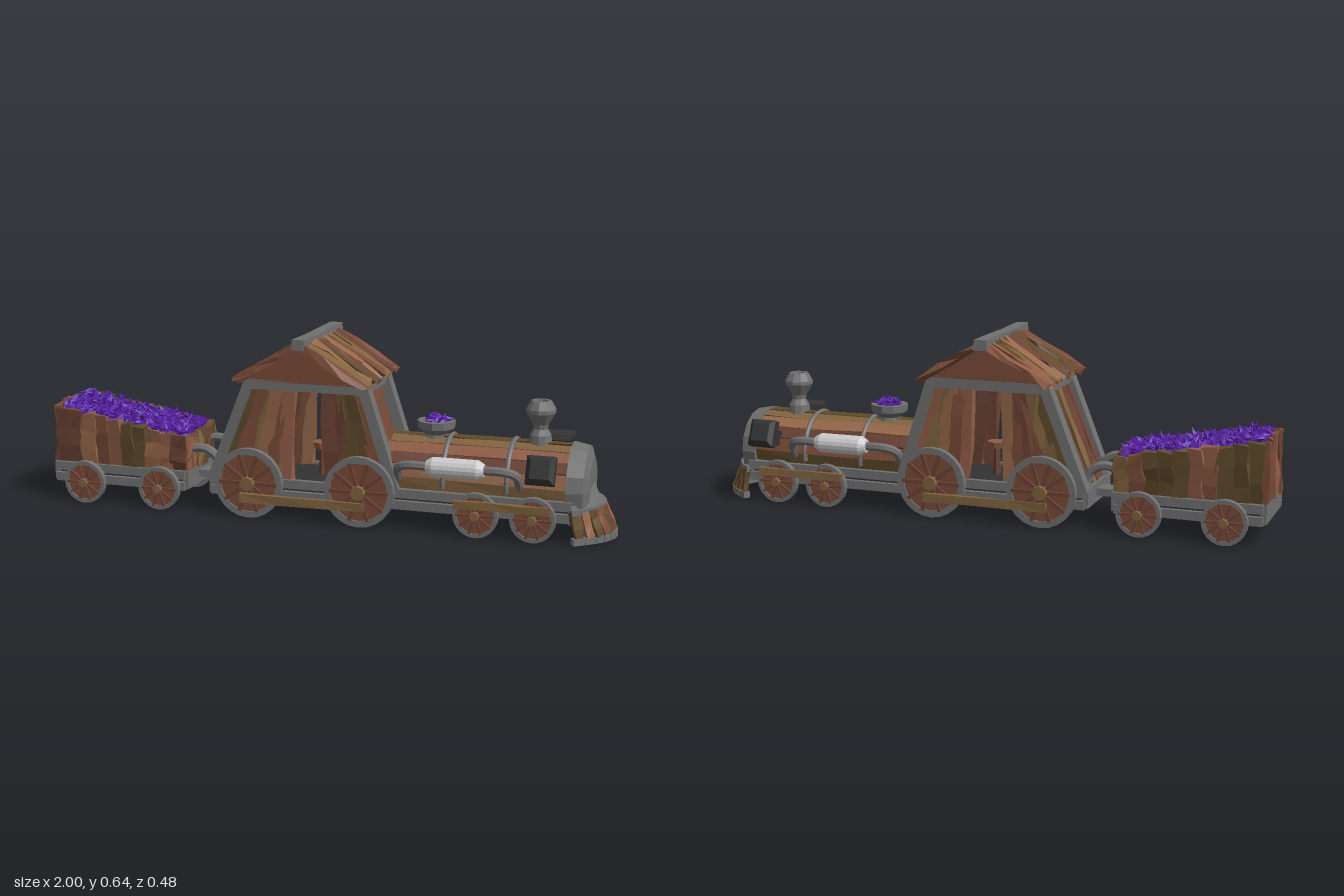
import * as THREE from 'three';
import { mergeGeometries } from 'three/addons/utils/BufferGeometryUtils.js';

const V = (x, y, z) => new THREE.Vector3(x, y, z);
const mat = (color) => new THREE.MeshStandardMaterial({ color, flatShading: true, side: THREE.DoubleSide });
const iron = mat(0x707070), dark = mat(0x333333), pale = mat(0xcccccc), purple = mat(0x5a20a8);
const woods = [0x8f5c46, 0x6b4234, 0x80633f, 0x7a4c38, 0x5f4a2c, 0x96684a].map(mat);

let seed = 7;
const rnd = () => (seed = (seed * 16807) % 2147483647) / 2147483647;
const wood = () => woods[Math.floor(rnd() * woods.length)];

export function createModel() {
  const root = new THREE.Group();
  const add = (parent, name, geo, m, x = 0, y = 0, z = 0) => {
    const mesh = new THREE.Mesh(geo, m);
    mesh.name = name;
    mesh.position.set(x, y, z);
    parent.add(mesh);
    return mesh;
  };
  const group = (name) => {
    const g = new THREE.Group();
    g.name = name;
    root.add(g);
    return g;
  };
  const box = (p, name, m, w, h, d, x, y, z) => add(p, name, new THREE.BoxGeometry(w, h, d), m, x, y, z);

  // Bar from a to b, its thin side along n; rough > 0 makes a crooked plank
  const bar = (p, name, m, a, b, width, thick, n, rough = 0) => {
    const len = a.distanceTo(b);
    const geo = new THREE.BoxGeometry(width, len, thick, 1, rough ? 3 : 1, 1);
    const pos = geo.attributes.position, moved = {};
    for (let i = 0; i < pos.count && rough; i++) {
      const v = V().fromBufferAttribute(pos, i);
      const k = v.toArray().map((c) => c.toFixed(4)).join();
      const o = (moved[k] ??= [rnd() - 0.5, rnd() - 0.5, rnd() - 0.5]);
      pos.setXYZ(i, v.x + o[0] * rough, v.y + o[1] * rough, v.z + o[2] * rough * 0.7);
    }
    geo.computeVertexNormals();
    const Y = b.clone().sub(a).normalize();
    const X = Y.clone().cross(n).normalize();
    const Z = X.clone().cross(Y);
    const mesh = add(p, name, geo, m);
    mesh.quaternion.setFromRotationMatrix(new THREE.Matrix4().makeBasis(X, Y, Z));
    mesh.position.copy(a).add(b).multiplyScalar(0.5);
    return mesh;
  };
  // Row of planks filling the quad a0-a1 (start edge) to b0-b1 (end edge)
  const planks = (p, name, a0, a1, b0, b1, count, thick, n, rough = 0.012) => {
    for (let i = 0; i < count; i++) {
      const t = (i + 0.5) / count;
      const w = Math.max(a0.distanceTo(a1), b0.distanceTo(b1)) / count * 1.04;
      bar(p, name, wood(), a0.clone().lerp(a1, t), b0.clone().lerp(b1, t), w, thick + rnd() * 0.008, n, rough);
    }
  };
  const shards = (p, name, count, place) => {
    const list = [];
    for (let i = 0; i < count; i++) {
      const g = new THREE.OctahedronGeometry(1).scale(0.009, 0.028, 0.009);
      g.rotateX(rnd() * 6).rotateZ(rnd() * 6).rotateY(rnd() * 6);
      list.push(g.translate(...place()));
    }
    add(p, name, mergeGeometries(list), purple);
  };

  // Wheel facing +z: iron tyre, wooden disc, spokes, hub
  const wheel = (x, y, r, side) => {
    const g = group('wheel');
    g.position.set(x, y, side * 0.157);
    if (side < 0) g.rotation.y = Math.PI;
    add(g, 'disc', new THREE.CylinderGeometry(r * 0.86, r * 0.86, 0.012, 20).rotateX(Math.PI / 2), woods[3]);
    const ring = new THREE.Shape().absarc(0, 0, r, 0, Math.PI * 2);
    ring.holes.push(new THREE.Path().absarc(0, 0, r * 0.82, 0, Math.PI * 2));
    add(g, 'tyre', new THREE.ExtrudeGeometry(ring, { depth: 0.022, bevelEnabled: false, curveSegments: 12 }), iron, 0, 0, -0.01);
    for (let i = 0; i < 10; i++) {
      const a = i * Math.PI / 5, c = Math.cos(a) * r, s = Math.sin(a) * r;
      bar(g, 'spoke', woods[1], V(c * 0.15, s * 0.15, 0.01), V(c * 0.85, s * 0.85, 0.01), r * 0.1, 0.012, V(0, 0, 1));
    }
    add(g, 'hub', new THREE.CylinderGeometry(r * 0.2, r * 0.24, 0.03, 8).rotateX(Math.PI / 2), woods[2], 0, 0, 0.013);
  };
  for (const s of [1, -1]) {
    for (const x of [-0.245, 0.15]) wheel(x, 0.13, 0.122, s);
    for (const x of [-0.865, -0.58, 0.55, 0.74]) wheel(x, 0.084, 0.076, s);
  }

  // Chassis of engine and wagon
  const chassis = group('chassis');
  const frame = (x0, x1) => {
    const w = x1 - x0, c = (x0 + x1) / 2;
    box(chassis, 'floor', dark, w, 0.055, 0.26, c, 0.11, 0);
    for (const s of [1, -1]) for (const y of [0.092, 0.132])
      box(chassis, 'sideRail', iron, w, 0.03, 0.02, c, y, s * 0.137);
    for (const x of [x0, x1]) box(chassis, 'endRail', iron, 0.02, 0.065, 0.27, x, 0.113, 0);
  };
  frame(-0.39, 0.86);
  frame(-0.985, -0.49);
  for (const s of [1, -1]) {
    bar(chassis, 'driveRod', woods[2], V(-0.27, 0.082, s * 0.182), V(0.17, 0.082, s * 0.182), 0.03, 0.016, V(0, 0, 1), 0.004);
    bar(chassis, 'frontRod', woods[2], V(0.48, 0.122, s * 0.18), V(0.8, 0.122, s * 0.18), 0.026, 0.016, V(0, 0, 1), 0.004);
    const hook = new THREE.CatmullRomCurve3([V(-0.5, 0.215, s * 0.085), V(-0.43, 0.22, s * 0.085), V(-0.39, 0.19, s * 0.085), V(-0.38, 0.13, s * 0.085)]);
    add(chassis, 'couplingPipe', new THREE.TubeGeometry(hook, 10, 0.016, 7), iron);
  }
  box(chassis, 'drawbar', iron, 0.13, 0.025, 0.07, -0.44, 0.115, 0);

  // Wagon: planked sides falling towards the front, filled with crystals
  const wagon = group('wagon');
  const top = (x) => 0.35 - (x + 0.98) * 0.17;
  for (const s of [1, -1])
    planks(wagon, 'wagonSidePlank', V(-0.98, 0.14, s * 0.125), V(-0.49, 0.14, s * 0.125), V(-0.98, top(-0.98), s * 0.135), V(-0.49, top(-0.49), s * 0.135), 10, 0.016, V(0, 0, 1), 0.018);
  for (const x of [-0.985, -0.49])
    planks(wagon, 'wagonEndPlank', V(x, 0.14, -0.125), V(x, 0.14, 0.125), V(x, top(x), -0.13), V(x, top(x), 0.13), 6, 0.016, V(1, 0, 0), 0.018);
  bar(wagon, 'crystalBed', purple, V(-0.97, 0.315, 0), V(-0.5, 0.235, 0), 0.23, 0.04, V(0, 1, 0));
  shards(wagon, 'crystals', 650, () => {
    const x = -0.97 + rnd() * 0.47;
    return [x, top(x) - 0.015 + rnd() * 0.025, (rnd() - 0.5) * 0.23];
  });

  // Cab: sloping posts, planked walls with a doorway each side, open front
  const cab = group('cab');
  for (const s of [1, -1]) {
    const z = s * 0.125, n = V(0, 0, 1);
    bar(cab, 'rearPost', iron, V(-0.385, 0.13, z), V(-0.245, 0.485, z), 0.035, 0.045, n);
    bar(cab, 'frontPost', iron, V(0.27, 0.13, z), V(0.155, 0.485, z), 0.035, 0.045, n);
    box(cab, 'topBeam', iron, 0.43, 0.035, 0.045, -0.045, 0.475, z);
    planks(cab, 'rearSidePlank', V(-0.36, 0.14, z), V(-0.1, 0.14, z), V(-0.23, 0.47, z), V(-0.095, 0.47, z), 6, 0.016, n, 0.015);
    planks(cab, 'frontSidePlank', V(0.025, 0.14, z), V(0.25, 0.14, z), V(0.015, 0.47, z), V(0.145, 0.47, z), 5, 0.016, n, 0.015);
    const gable = new THREE.Shape([[-0.27, 0.485], [0.18, 0.485], [-0.045, 0.615]].map((q) => new THREE.Vector2(...q)));
    add(cab, 'gable', new THREE.ExtrudeGeometry(gable, { depth: 0.015, bevelEnabled: false }), woods[3], 0, 0, s * 0.14 - 0.0075);
    // Roof slope on the s side of the ridge, planks running down it
    planks(cab, 'roofPlank', V(-0.05 + s * 0.01, 0.62, -0.2), V(-0.05 + s * 0.01, 0.62, 0.2), V(-0.05 + s * 0.23, 0.492, -0.2), V(-0.05 + s * 0.23, 0.492, 0.2), 11, 0.016, V(s * 0.5, 1, 0), 0.022);
    bar(cab, 'crossBeam', iron, V(-0.045 + s * 0.2, 0.475, -0.14), V(-0.045 + s * 0.2, 0.475, 0.14), 0.03, 0.035, V(0, 1, 0));
  }
  planks(cab, 'backPlank', V(-0.38, 0.14, -0.11), V(-0.38, 0.14, 0.11), V(-0.24, 0.47, -0.11), V(-0.24, 0.47, 0.11), 6, 0.016, V(1, 0, 0));
  bar(cab, 'ridgeBeam', iron, V(-0.05, 0.622, -0.22), V(-0.05, 0.625, 0.205), 0.045, 0.034, V(0, 1, 0), 0.006);
  add(cab, 'stoolPost', new THREE.CylinderGeometry(0.01, 0.014, 0.1, 6), woods[1], -0.03, 0.19, 0);
  add(cab, 'stoolSeat', new THREE.CylinderGeometry(0.035, 0.03, 0.022, 8), woods[0], -0.03, 0.245, 0);

  // Boiler: dark core clad in long planks, iron hoops and front cap
  const boiler = group('boiler');
  const tube = (r0, r1, len) => new THREE.CylinderGeometry(r0, r1, len, 16).rotateZ(-Math.PI / 2);
  add(boiler, 'core', tube(0.118, 0.118, 0.62), dark, 0.54, 0.18, 0);
  for (let i = 0; i < 13; i++) {
    const a = -0.45 + i / 12 * (Math.PI + 0.9);
    const n = V(0, Math.sin(a), Math.cos(a)), c = n.clone().multiplyScalar(0.122).add(V(0, 0.18, 0));
    bar(boiler, 'boilerPlank', wood(), V(0.23, c.y, c.z), V(0.85, c.y, c.z), 0.044, 0.014 + rnd() * 0.008, n, 0.01);
  }
  for (const x of [0.43, 0.645])
    add(boiler, 'hoop', new THREE.TorusGeometry(0.132, 0.009, 6, 24, Math.PI * 1.1).rotateZ(-0.05 * Math.PI).rotateY(Math.PI / 2), iron, x, 0.18, 0);
  add(boiler, 'capRing', tube(0.132, 0.143, 0.055), iron, 0.868, 0.176, 0);
  add(boiler, 'capFace', tube(0.09, 0.132, 0.015), iron, 0.902, 0.176, 0);

  // Chimney, and bowl with crystals
  const lathe = (name, pts, x) => add(boiler, name, new THREE.LatheGeometry(pts.map((q) => new THREE.Vector2(...q)), 10), iron, x);
  lathe('chimney', [[0.042, 0.28], [0.036, 0.335], [0.024, 0.355], [0.026, 0.37], [0.05, 0.41], [0.05, 0.422], [0.034, 0.45], [0.022, 0.45], [0.018, 0.41], [0, 0.41]], 0.73);
  lathe('bowl', [[0.045, 0.28], [0.04, 0.315], [0.064, 0.335], [0.066, 0.36], [0.046, 0.36], [0.044, 0.345], [0, 0.345]], 0.375);
  shards(boiler, 'bowlCrystals', 45, () => {
    const a = rnd() * 6.28, r = rnd() * 0.035;
    return [0.375 + Math.cos(a) * r, 0.352 + rnd() * 0.02, Math.sin(a) * r];
  });

  // Side tanks with pipes, and tilted lamps
  for (const s of [1, -1]) {
    const z = s * 0.172;
    add(boiler, 'tank', tube(0.034, 0.034, 0.15), pale, 0.482, 0.24, z);
    for (const e of [1, -1]) {
      add(boiler, 'tankEnd', tube(e > 0 ? 0.022 : 0.034, e > 0 ? 0.034 : 0.022, 0.022), pale, 0.482 + e * 0.086, 0.24, z);
      const x = 0.482 + e * 0.09;
      const path = new THREE.CatmullRomCurve3([V(x, 0.24, z), V(x + e * 0.07, 0.24, z), V(x + e * 0.108, 0.225, s * 0.155), V(x + e * 0.115, 0.17, s * 0.115)]);
      add(boiler, 'pipe', new THREE.TubeGeometry(path, 12, 0.015, 7), iron);
    }
    const lamp = group('lamp');
    lamp.position.set(0.77, 0.262, s * 0.2);
    lamp.rotation.x = s * (Math.PI / 2 - 0.4);
    const square = (r0, r1, h) => new THREE.CylinderGeometry(r0, r1, h, 4).rotateY(Math.PI / 4);
    add(lamp, 'neck', square(0.036, 0.036, 0.09), dark, 0, -0.05, 0);
    add(lamp, 'lampBody', square(0.066, 0.066, 0.03), dark);
    for (const e of [1, -1]) add(lamp, 'lampBevel', square(e > 0 ? 0.045 : 0.066, e > 0 ? 0.066 : 0.045, 0.014), dark, 0, e * 0.022, 0);
  }

  // Cowcatcher: bowed planks between iron bands, with a peaked shield above
  const nose = group('cowcatcher');
  const upper = (t) => V(0.945 - 0.085 * t * t, 0.115, 0.148 * t);
  const lower = (t) => V(0.985 - 0.115 * t * t, 0.03, 0.155 * t);
  const peak = (t) => V(0.912 - 0.05 * t * t, 0.19 - 0.055 * Math.abs(t), 0.142 * t);
  const shield = [];
  const N = 12;
  for (let i = 0; i < N; i++) {
    const t0 = -1 + 2 * i / N, t1 = -1 + 2 * (i + 1) / N, t = (t0 + t1) / 2;
    bar(nose, 'nosePlank', wood(), lower(t), upper(t), 0.033, 0.018, V(1, 0, t), 0.01);
    bar(nose, 'bottomBand', iron, lower(t0).setY(0.02), lower(t1).setY(0.02), 0.022, 0.024, V(1, 0, t));
    bar(nose, 'topBand', iron, upper(t0), upper(t1), 0.02, 0.02, V(1, 0, t));
    const [a, b, c, d] = [upper(t0), upper(t1), peak(t1), peak(t0)];
    for (const v of [a, c, b, a, d, c]) shield.push(v);
  }
  const shieldGeo = new THREE.BufferGeometry().setFromPoints(shield);
  shieldGeo.computeVertexNormals();
  add(nose, 'shield', shieldGeo, iron);
  return root;
}
